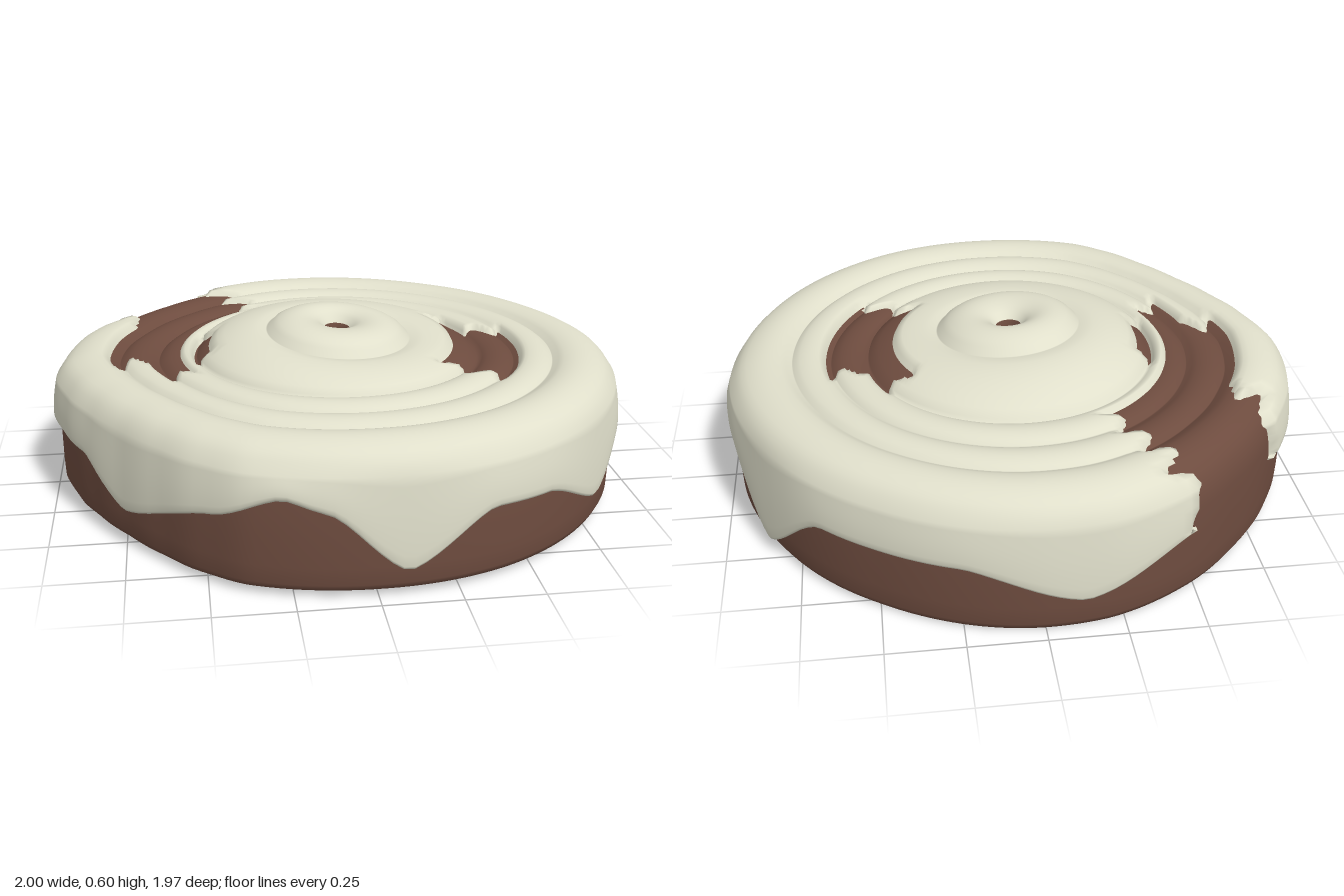
import * as THREE from 'three';

const SEG = 180;
const RAD = Math.PI / 180;
const { lerp, clamp, smoothstep } = THREE.MathUtils;

// Softened lookup through a closed list of [degrees, value]
function around(list, deg) {
  for (let i = 0; i < list.length; i++) {
    const [a0, v0] = list[i];
    const [a1, v1] = i + 1 < list.length ? list[i + 1] : [list[0][0] + 360, list[0][1]];
    if (deg >= a0 && deg <= a1) {
      const t = (deg - a0) / (a1 - a0);
      return v0 + (v1 - v0) * (0.5 * t + 0.5 * t * t * (3 - 2 * t));
    }
  }
  return list[0][1];
}

// Slightly uneven outline, and the height of the dripping icing edge
const OUTLINE = [[0, 0.995], [41, 0.99], [63, 0.99], [90, 0.982], [114, 0.985], [124, 0.962],
  [135, 0.935], [146, 0.925], [157, 0.937], [168, 0.965], [180, 1], [195, 0.995], [209, 0.975],
  [225, 0.965], [240, 0.975], [258, 0.99], [270, 0.987], [303, 0.963], [326, 0.968]];
const DRIP = [[0, 0.32], [12, 0.27], [25, 0.255], [39, 0.13], [56, 0.25], [69, 0.26], [85, 0.09],
  [99, 0.29], [107, 0.33], [120, 0.25], [145, 0.13], [160, 0.25], [180, 0.26], [209, 0.25],
  [241, 0.25], [263, 0.13], [285, 0.25], [315, 0.25], [332, 0.05], [348, 0.27]];

// Rolled coils: inner radius, outer radius, inner height, outer height, bulge
const COILS = [[0.042, 0.25, 0.545, 0.535, 0.05], [0.25, 0.495, 0.535, 0.475, 0.025],
  [0.495, 0.625, 0.46, 0.46, 0.022], [0.625, 0.76, 0.457, 0.457, 0.022], [0.76, 0.96, 0.455, 0.435, 0.037]];

// The same coils from below, listed from the rim to the raised middle
const UNDERSIDE = [[0.78, 0.95, 0.01, 0.01], [0.63, 0.78, 0.012, 0.01], [0.43, 0.63, 0.02, 0.012],
  [0.22, 0.43, 0.075, 0.03], [0.045, 0.22, 0.125, 0.115]];

// Bare patches in the icing: inner radius, outer radius, start and end angle
const PATCHES = [[0.75, 2, 209, 241], [0.6, 0.79, 174, 241], [0.555, 0.66, 158, 241],
  [0.43, 0.64, -11, 37], [0.41, 0.5, -30, 38], [0.455, 0.5, 168, 200]];

const archAt = t => Math.pow(Math.max(0, Math.sin(Math.PI * t)), 0.65);

function coilProfile(steps) {
  const points = [];
  for (const [r0, r1, y0, y1, bulge] of COILS) {
    for (let i = 0; i <= steps; i++) {
      const t = i / steps;
      // a tiny inset keeps neighbouring coils separate at the groove
      points.push([r0 + (r1 - r0) * (0.01 + 0.98 * t), y0 + (y1 - y0) * t + bulge * archAt(t)]);
    }
  }
  return points;
}

// 1 where the icing is missing, 0 where it is whole
function bareness(deg, r) {
  const a = deg > 320 ? deg - 360 : deg;
  const jag = 3.5 * Math.sin(r * 50);
  let best = -1;
  for (const [r0, r1, a0, a1] of PATCHES) {
    const d = Math.min(r - r0, r1 - r, (a - a0 + jag) * r * RAD, (a1 - a + jag) * r * RAD);
    best = Math.max(best, d);
  }
  return clamp(0.5 + best / 0.03, 0, 1);
}

// Sweeps a profile of [r, y, hidden] around the vertical axis
function sweep(profileAt, closed) {
  const pos = [], index = [], hidden = [];
  let n = 0;
  for (let s = 0; s < SEG; s++) {
    const deg = s * 360 / SEG, a = deg * RAD;
    const profile = profileAt(deg);
    n = profile.length;
    for (const [r, y, h = 0] of profile) {
      const edge = lerp(1, around(OUTLINE, deg), smoothstep(r, 0.45, 0.95));
      const near = Math.max(0, 1 - r / 0.5);
      const x = r * edge * Math.cos(a);
      const z = r * edge * Math.sin(a) + 0.01 + 0.05 * near * smoothstep(r, 0, 0.2) - 0.01 * smoothstep(r, 0.3, 0.6);
      // the raised middle and the underside lean a little
      const lean = y > 0.4 ? -0.06 * (x + z) * Math.min(1, near * 2) : 0.01 * z * Math.max(0, 1 - y / 0.2);
      pos.push(x, y + lean, z);
      hidden.push(h > 0.97);
    }
  }
  for (let s = 0; s < SEG; s++) {
    for (let i = 0; i < (closed ? n : n - 1); i++) {
      const j = (i + 1) % n, t = (s + 1) % SEG;
      const a = s * n + i, b = t * n + i, c = t * n + j, d = s * n + j;
      if (hidden[a] && hidden[b] && hidden[c] && hidden[d]) continue;
      index.push(a, b, d, b, c, d);
    }
  }
  const g = new THREE.BufferGeometry();
  g.setAttribute('position', new THREE.Float32BufferAttribute(pos, 3));
  g.setIndex(index);
  g.computeVertexNormals();
  return g;
}

// Pastry: coiled top, upright side, coiled underside and a small centre hole
function pastryProfile() {
  const top = coilProfile(7).map(([r, y]) => [r > 0.76 ? 0.76 + (r - 0.76) * 0.89 : r, y - 0.02]);
  const side = [[0.962, 0.375], [0.972, 0.31], [0.977, 0.2], [0.977, 0.1], [0.975, 0.04], [0.965, 0.019]];
  const under = [];
  for (const [r0, r1, y0, y1] of UNDERSIDE) {
    const start = r1 > 0.9 ? 0.5 : 0;
    for (let i = 0; i <= 6; i++) {
      const t = i / 6;
      const arch = archAt(start + (1 - start) * t);
      under.push([r1 - (r1 - r0) * (0.01 + 0.98 * t), lerp(y1, y0, t) + 0.05 * (1 - arch)]);
    }
  }
  return [...top, ...side, ...under, [0.04, 0.25]];
}

// Icing: a thin coat over the coils that runs down the side in drips
function icingProfile(deg) {
  const points = coilProfile(10);
  const drip = around(DRIP, deg);
  for (let i = 0; i <= 8; i++) {
    const t = i / 8;
    points.push([0.982 + 0.018 * Math.sin(t * Math.PI / 2), lerp(0.4, drip + 0.01, t)]);
  }
  points.push([0.994, drip], [0.965, drip + 0.004]);
  return points.map(([r, y]) => {
    const bare = bareness(deg, r);
    const sideways = smoothstep(r, 0.88, 0.98);
    return [r - 0.05 * bare * sideways, y - 0.05 * bare * (1 - 0.6 * sideways), bare];
  });
}

export function createModel() {
  const group = new THREE.Group();
  group.name = 'icedRoll';
  const add = (name, geometry, color) => {
    const mesh = new THREE.Mesh(geometry,
      new THREE.MeshStandardMaterial({ color, side: THREE.DoubleSide }));
    mesh.name = name;
    group.add(mesh);
  };
  add('pastry', sweep(pastryProfile, true), 0x6e4c3f);
  add('icing', sweep(icingProfile, false), 0xe0dfcb);
  return group;
}
